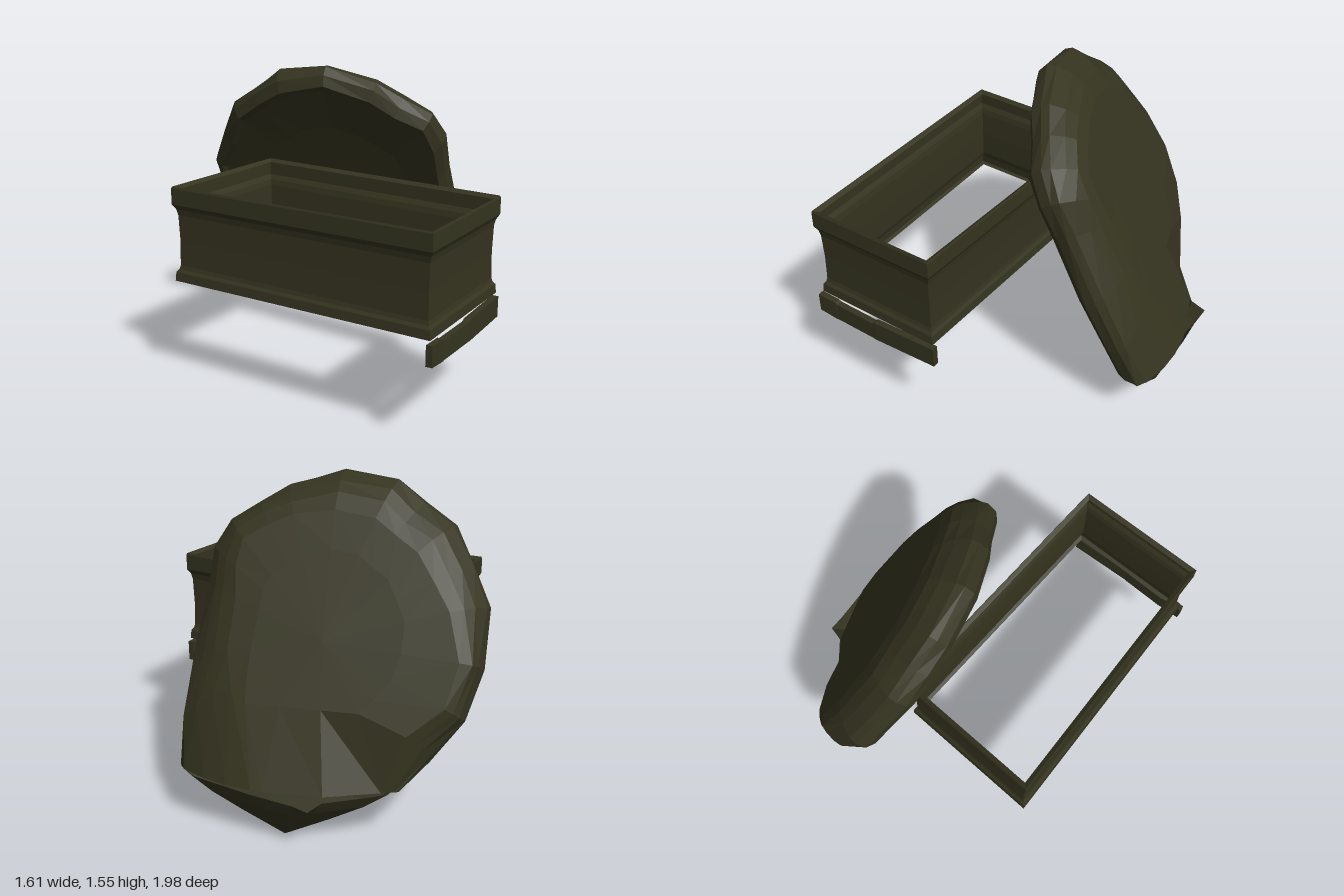
import * as THREE from 'three';

const stone = new THREE.MeshStandardMaterial({ color: 0x353420, flatShading: true, side: THREE.DoubleSide });
stone.name = 'dark mossy stone';

// Skin a list of rings, each a closed loop with the same number of points; skip(i, j) leaves a face open
function loft(rings, skip = () => false) {
  const n = rings[0].length, index = [];
  for (let i = 0; i < rings.length - 1; i++) {
    for (let j = 0; j < n; j++) {
      if (skip(i, j)) continue;
      const a = i * n + j, b = i * n + (j + 1) % n, d = a + n, c = b + n;
      index.push(a, d, c, a, c, b);
    }
  }
  const g = new THREE.BufferGeometry();
  g.setAttribute('position', new THREE.Float32BufferAttribute(rings.flat(2), 3));
  g.setIndex(index);
  g.computeVertexNormals();
  return g;
}

function add(group, name, geometry) {
  const mesh = new THREE.Mesh(geometry, stone);
  mesh.name = name;
  group.add(mesh);
}

// Open stone frame: moulded thin wall swept around a turned, slightly skewed rectangle
function frame() {
  const corners = [[-0.805, 0.14], [0.33, 0.97], [0.75, 0.43], [-0.315, -0.45]]
    .map(p => new THREE.Vector2(...p));
  const insets = corners.map((p, j) => {
    const next = corners[(j + 1) % 4].clone().sub(p).normalize();
    const prev = corners[(j + 3) % 4].clone().sub(p).normalize();
    return next.add(prev);
  });
  const profile = [
    [0.026, 1.0], [0.004, 1.015], [0, 1.005], [0, 0.925], [0.014, 0.9], [0.02, 0.87],
    [0.023, 0.74], [0.02, 0.61], [0.015, 0.59], [0.004, 0.575], [0, 0.53], [0.018, 0.522],
  ];
  return loft(profile.map(([d, y]) => corners.map((p, j) =>
    [p.x + d * insets[j].x, y, p.y + d * insets[j].y])));
}

// Broken base moulding below the short end of the frame
function brokenTrim() {
  const stations = [
    [0.325, 0.985, 0.415, 0.515], [0.39, 0.90, 0.405, 0.51], [0.395, 0.89, 0.405, 0.5],
    [0.54, 0.71, 0.405, 0.5], [0.55, 0.70, 0.405, 0.512], [0.75, 0.42, 0.405, 0.51],
  ];
  const ring = ([x, z, y0, y1], s) => {
    const m = (y0 + y1) / 2, h = s * (y1 - y0) / 2, t = 0.013 * s;
    return [[x + t, m - h, z + t * 0.7], [x + t, m + h, z + t * 0.7],
      [x - t, m + h, z - t * 0.7], [x - t, m - h, z - t * 0.7]];
  };
  return loft([ring(stations[0], 0), ...stations.map(s => ring(s, 1)), ring(stations[5], 0)]);
}

// Leaning lid: an irregular outline on a tilted plane, bevelled on both faces, open along the break
function lid() {
  const cut = 0.255, cx = 0.1, cy = 0.8;
  // x, y, extra bevel on the back face
  const outline = [
    [-0.17, cut, 0], [0.15, cut, 0], [0.5, cut, 3], [0.80, cut, 14], [0.775, 0.45, 9],
    [0.72, 0.71, 6], [0.63, 1.02, 5], [0.59, 1.18, 3], [0.51, 1.31, 1], [0.36, 1.39, 1],
    [0.22, 1.47, 2], [-0.03, 1.55, 4], [-0.27, 1.51, 4], [-0.38, 1.42, 4], [-0.50, 1.33, 4],
    [-0.56, 1.16, 3], [-0.61, 1.0, 2], [-0.56, 0.75, -2], [-0.46, 0.54, -3], [-0.3, 0.37, 0],
  ];
  // scale of the outline, distance from the middle plane
  const rings = [[0, 0.065], [0.6, 0.065], [0.88, 0.075], [0.92, 0.09], [0.98, 0.055], [1, 0],
    [0.99, -0.04], [0.94, -0.095], [0.89, -0.13], [0.81, -0.15], [0.5, -0.155], [0, -0.155]];
  const points = rings.map(([s, t], i) => outline.map(([qx, qy, bevel], j) => {
    const chip = (i > 1 && i < 9 && i !== 5) ? 0.01 * Math.sin(j * 2.3 + i * 0.8) : 0;
    const k = s + chip - (i > 5 && i < 10 ? bevel * t * t : 0);
    const x = cx + k * (qx - cx) - 0.31 * t;
    const y = qy <= cut && s > 0.7 ? cut : Math.max(cut, cy + k * (qy - cy) - 0.44 * t);
    const z = 0.375 * x + 0.53 * y - 0.963 + 1.19 * t;
    return [x, y, Math.max(z, -0.925)];
  }));
  return loft(points, (i, j) => j < 3 && i > 1 && i < 9);
}

// Lower corner of the lid, a hollow shard broken off just under the cut
function fragment() {
  const apex = [0.34, 0, -0.78];
  const rim = [
    [-0.17, 0.247, -0.86], [0.1, 0.247, -0.74], [0.45, 0.247, -0.6], [0.74, 0.247, -0.48],
    [0.80, 0.247, -0.53], [0.75, 0.245, -0.63], [0.5, 0.235, -0.82], [0.32, 0.23, -0.94],
    [0.26, 0.222, -0.99], [0.19, 0.23, -0.935], [-0.1, 0.24, -0.92],
  ];
  const toward = (s, sag) => rim.map(p => p.map((c, k) => c + (apex[k] - c) * s - (k === 1 ? sag : 0)));
  return loft([rim, toward(0.22, 0.015), toward(0.55, 0.012), toward(1, 0)]);
}

export function createModel() {
  const group = new THREE.Group();
  group.name = 'openStoneTomb';
  add(group, 'frame', frame());
  add(group, 'brokenTrim', brokenTrim());
  add(group, 'lid', lid());
  add(group, 'lidFragment', fragment());
  return group;
}
